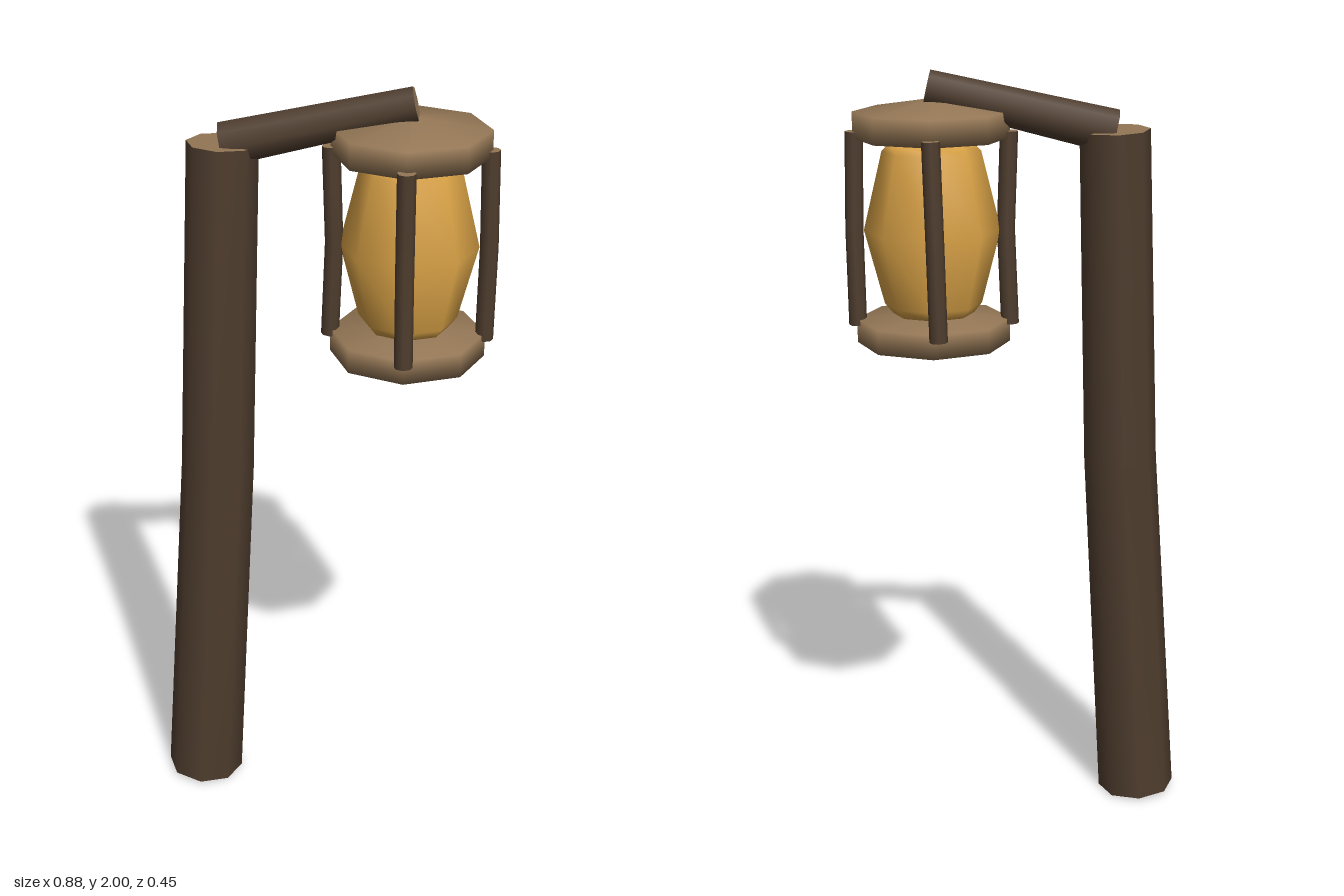
import * as THREE from 'three';

const mat = (name, color) => {
  const m = new THREE.MeshStandardMaterial({ color });
  m.name = name;
  return m;
};

export function createModel() {
  const group = new THREE.Group();
  const darkWood = mat('darkWood', 0x4f3d2e);
  const cutWood = mat('cutWood', 0x937655);
  const amberGlass = mat('amberGlass', 0xdda548);

  const add = (name, geometry, material) => {
    const mesh = new THREE.Mesh(geometry, material);
    mesh.name = name;
    group.add(mesh);
    return mesh;
  };

  // Eight-sided log that follows [x, y, z, radius] points, with a pale cut end
  const log = (name, path) => {
    const n = path.length - 1;
    const pts = path.map(([x, y, z]) => new THREE.Vector3(x, y, z));
    const turns = pts.map((p, i) => {
      const dir = pts[Math.min(i + 1, n)].clone().sub(pts[Math.max(i - 1, 0)]).normalize();
      return new THREE.Quaternion().setFromUnitVectors(new THREE.Vector3(0, 1, 0), dir);
    });
    const geo = new THREE.CylinderGeometry(1, 1, 1, 8, n);
    const { position, normal } = geo.attributes;
    const v = new THREE.Vector3();
    for (let i = 0; i < position.count; i++) {
      v.fromBufferAttribute(position, i);
      const k = Math.round((v.y + 0.5) * n);
      v.setY(0).multiplyScalar(path[k][3]).applyQuaternion(turns[k]).add(pts[k]);
      position.setXYZ(i, v.x, v.y, v.z);
      v.fromBufferAttribute(normal, i).applyQuaternion(turns[k]);
      normal.setXYZ(i, v.x, v.y, v.z);
    }
    return add(name, geo, [darkWood, cutWood, darkWood]);
  };

  // Eight-sided turned part around the lantern axis
  const LX = 0.217;
  const turned = (name, profile, material) => {
    const pts = profile.map(([r, y]) => new THREE.Vector2(r, y));
    add(name, new THREE.LatheGeometry(pts, 8), material).position.x = LX;
  };

  // Post and arm
  log('post', [[-0.335, 0.01, 0.03, 0.104], [-0.275, 0.98, 0.03, 0.096], [-0.245, 1.85, 0, 0.09]]);
  log('arm', [[-0.243, 1.845, 0, 0.056], [0.227, 1.956, 0, 0.045]]);

  // Lantern body
  turned('lanternBase', [[0, 1.275], [0.197, 1.308], [0.197, 1.37], [0, 1.395]], cutWood);
  turned('lanternGlass', [[0, 1.385], [0.105, 1.385], [0.125, 1.41], [0.174, 1.6],
    [0.125, 1.8], [0.105, 1.82], [0, 1.82]], amberGlass);
  turned('lanternRoof', [[0, 1.81], [0.197, 1.832], [0.197, 1.898], [0, 1.93]], cutWood);

  // Four slightly crooked rods: bottom, middle, top as [x, z]
  const rods = {
    frontRod: [[0.217, 0.198], [0.215, 0.19], [0.215, 0.197]],
    backRod: [[0.204, -0.202], [0.21, -0.204], [0.217, -0.2]],
    leftRod: [[0.412, 0], [0.415, 0.002], [0.41, 0]],
    rightRod: [[0.02, 0], [0.03, 0.003], [0.022, 0]],
  };
  for (const [name, xz] of Object.entries(rods)) {
    log(name, xz.map(([x, z], i) => [x, 1.355 + i * 0.247, z, 0.023]));
  }
  return group;
}
